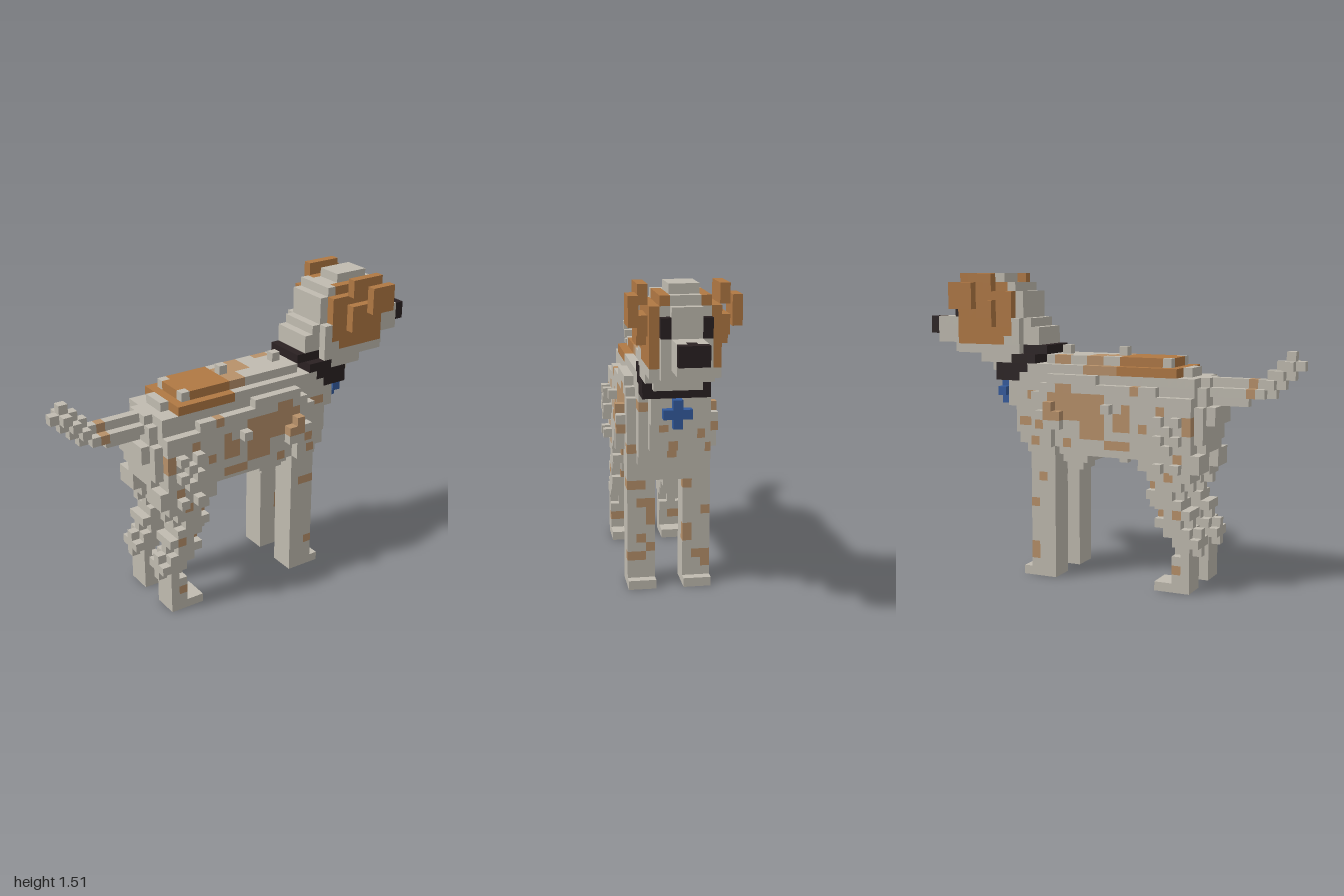
import * as THREE from 'three';

const V = 2 / 45; // block edge: 45 blocks long, 34 tall, 11 wide

export function createModel() {
  const mat = (name, color) => Object.assign(new THREE.MeshStandardMaterial({ color }), { name });
  const materials = {
    fur: mat('paleFur', 0xc0bbb0),
    orange: mat('orangeFur', 0xb07843),
    tan: mat('tanSpots', 0xb8916a),
    dark: mat('black', 0x2a2122),
    blue: mat('blueTag', 0x345c9f),
  };

  // Block grid: i runs along x, j along y, k along z with 0 in the middle
  const grid = new Map();
  const key = (i, j, k) => `${i},${j},${k}`;
  const put = (part, colour, i, j, k) => grid.set(key(i, j, k), { part, colour, p: [i, j, k] });
  // Block of cells with k0 <= |k| <= k1, so always mirrored left to right
  const box = (part, colour, i0, i1, j0, j1, k1, k0 = 0) => {
    for (let i = i0; i <= i1; i++)
      for (let j = j0; j <= j1; j++)
        for (let k = -k1; k <= k1; k++) if (Math.abs(k) >= k0) put(part, colour, i, j, k);
  };
  // Recolours pale cells only
  const paint = (colour, i0, i1, j0, j1, k0, k1) => {
    for (let i = i0; i <= i1; i++)
      for (let j = j0; j <= j1; j++)
        for (let k = k0; k <= k1; k++) {
          const c = grid.get(key(i, j, k));
          if (c && c.colour === 'fur') c.colour = colour;
        }
  };

  // Body
  [
    [11, 29, 15, 20, 4], [15, 28, 21, 21, 4], [22, 27, 22, 22, 4],
    [11, 30, 14, 22, 3], [10, 30, 15, 21, 2], [10, 12, 22, 22, 1],
    [13, 29, 23, 23, 3], [12, 12, 23, 23, 1], [14, 28, 24, 24, 2],
    [9, 9, 18, 19, 2], [10, 10, 16, 19, 3],
  ].forEach((b) => box('body', 'fur', ...b));
  // Chest, narrowing toward the front and down to the keel
  [
    [30, 30, 14, 23, 3], [31, 31, 15, 22, 3], [32, 32, 16, 22, 2], [33, 33, 19, 22, 2],
    [24, 29, 13, 13, 2], [25, 29, 12, 12, 1], [28, 28, 11, 11, 0],
  ].forEach((b) => box('chest', 'fur', ...b));
  // Loose tufts
  [[20, 25, 0], [27, 25, 0], [20, 13, 0], [20, 19, 5], [20, 19, -5]]
    .forEach((c) => put('tufts', 'fur', ...c));

  // Shoulders and front legs
  box('shoulder', 'fur', 26, 28, 17, 18, 5, 5);
  box('shoulder', 'fur', 27, 27, 15, 19, 5, 5);
  box('frontLeg', 'fur', 27, 29, 1, 14, 4, 2);
  box('frontPaw', 'fur', 27, 30, 0, 0, 4, 2);

  // Hind legs: first and last column of each row, with ragged edges
  box('hindPaw', 'fur', 11, 14, 0, 0, 4, 2);
  const hind = [
    [11, 12], [11, 12], [11, 12], [10, 12], [10, 12], [10, 13], [11, 14], [11, 14],
    [12, 15], [12, 15], [11, 15], [11, 15], [10, 16], [10, 16],
  ];
  hind.forEach(([a, b], n) => {
    const j = n + 1;
    for (let i = a; i <= b; i++) {
      const ragged = j > 3 && j < 13 && (i === a || i === b) && (i + j) % 2 === 0;
      box('hindLeg', 'fur', i, i, j, j, ragged ? 3 : 4, ragged ? 3 : 2);
    }
  });
  [[12, 13], [14, 13], [13, 15], [12, 16], [14, 16], [13, 17], [12, 18], [14, 18]]
    .forEach(([i, j]) => box('thighTuft', 'fur', i, i, j, j, 5, 5));

  // Tail: plus-shaped section, curling up to the tip
  [[1, 1, 23, 25], [2, 2, 22, 24], [3, 3, 21, 23], [4, 5, 21, 22], [6, 9, 20, 22]]
    .forEach(([i0, i1, j0, j1]) => {
      box('tail', 'fur', i0, i1, j0, j1, 0);
      const mid = j1 - j0 > 1 ? j0 + 1 : j0;
      box('tail', 'fur', i0, i1, mid, mid, 1);
    });
  box('tail', 'fur', 0, 0, 24, 24, 0);

  // Neck and head
  [
    [31, 34, 23, 23, 2], [31, 35, 23, 23, 2], [32, 36, 24, 24, 3], [32, 39, 25, 25, 3],
    [30, 31, 26, 27, 2], [31, 31, 28, 28, 2], [32, 32, 26, 28, 3],
  ].forEach((b) => box('neck', 'fur', ...b));
  [
    [32, 39, 26, 31, 2], [33, 39, 26, 31, 3], [33, 39, 32, 32, 2], [35, 38, 33, 33, 1],
    [40, 40, 25, 28, 2], [40, 40, 29, 31, 1],
  ].forEach((b) => box('head', 'fur', ...b));
  box('cheek', 'orange', 33, 39, 27, 31, 3, 3);
  box('cheek', 'orange', 34, 39, 26, 26, 3, 3);
  box('cheek', 'orange', 34, 39, 32, 32, 2, 2);
  box('eye', 'dark', 40, 40, 29, 30, 2, 2);
  box('muzzle', 'fur', 41, 43, 26, 28, 1);
  box('nose', 'dark', 44, 44, 27, 28, 1);
  put('nose', 'dark', 43, 28, 0);

  // Ears: root, outward fold and hanging flap
  box('ear', 'orange', 35, 38, 32, 33, 4, 4);
  box('ear', 'orange', 37, 39, 30, 32, 5, 5);
  box('ear', 'orange', 35, 37, 28, 30, 4, 4);
  box('ear', 'orange', 36, 38, 29, 30, 4, 4);

  // Collar: slanting band, with a cross-shaped tag below
  [[29, 31, 25, 25, 2], [30, 32, 24, 24, 3], [31, 33, 23, 23, 3], [32, 34, 22, 22, 3], [34, 34, 23, 23, 3]]
    .forEach((b) => box('collar', 'dark', ...b));
  box('tag', 'blue', 35, 35, 19, 21, 0);
  box('tag', 'blue', 35, 35, 20, 20, 1);

  // Saddle patch along the back
  paint('orange', 13, 19, 23, 23, -3, 3);
  paint('orange', 15, 19, 24, 24, -2, 2);
  paint('orange', 14, 14, 24, 24, -1, 1);
  paint('tan', 20, 21, 24, 24, -1, 2);
  paint('tan', 22, 23, 23, 24, -3, 0);
  paint('tan', 20, 22, 23, 23, -3, -3);
  paint('tan', 26, 27, 23, 24, -2, -2);

  // Flank patch and spots on both sides: columns, then rows
  const spots = [
    [21, 23, 16, 20], [24, 27, 18, 20], [25, 26, 21, 21], [17, 17, 21, 21], [18, 19, 17, 18],
    [18, 18, 19, 19], [18, 20, 15, 15], [11, 11, 17, 18], [12, 12, 14, 14], [14, 14, 19, 19],
    [16, 16, 17, 17], [30, 30, 20, 20], [28, 28, 17, 17], [29, 29, 15, 15], [25, 25, 15, 15],
    [28, 28, 11, 11], [29, 29, 3, 3], [12, 12, 8, 8], [15, 15, 11, 11], [14, 14, 8, 8],
    [12, 12, 2, 2], [13, 13, 12, 12],
  ];
  for (const s of spots) {
    paint('tan', ...s, 3, 5);
    paint('tan', ...s, -5, -3);
  }
  paint('tan', 5, 5, 21, 22, -1, 1);

  // Spots on the front of the chest and legs: rows, then z cells
  [
    [20, 20, 3, 3], [16, 16, 0, 0], [15, 15, 0, 0], [18, 18, 1, 1], [17, 17, -3, -3],
    [11, 11, 3, 4], [9, 9, 2, 3], [7, 8, 2, 2], [5, 5, 3, 3], [4, 4, 2, 2], [3, 3, 4, 4],
    [11, 11, -2, -2], [8, 8, -4, -4], [5, 6, -2, -2], [2, 2, -4, -4],
  ].forEach((s) => paint('tan', 29, 32, ...s));

  // Outer faces of the blocks, gathered by part and colour
  const faces = {};
  for (const { part, colour, p } of grid.values()) {
    const list = (((faces[part] ??= {})[colour]) ??= { pos: [], nor: [] });
    for (let a = 0; a < 3; a++)
      for (const s of [-1, 1]) {
        const next = [...p];
        next[a] += s;
        if (grid.has(key(...next))) continue;
        const u = (a + 1) % 3, w = (a + 2) % 3;
        const corner = (du, dw) => {
          const c = [(p[0] - 22) * V, (p[1] + 0.5) * V, p[2] * V];
          c[a] += s * V / 2;
          c[u] += du * V / 2;
          c[w] += dw * s * V / 2;
          return c;
        };
        const [A, B, C, D] = [corner(-1, -1), corner(1, -1), corner(1, 1), corner(-1, 1)];
        const n = [0, 0, 0];
        n[a] = s;
        for (const c of [A, B, C, A, C, D]) {
          list.pos.push(...c);
          list.nor.push(...n);
        }
      }
  }

  const model = new THREE.Group();
  model.name = 'dog';
  for (const [part, colours] of Object.entries(faces)) {
    const group = new THREE.Group();
    group.name = part;
    for (const [colour, { pos, nor }] of Object.entries(colours)) {
      if (!pos.length) continue;
      const geo = new THREE.BufferGeometry();
      geo.setAttribute('position', new THREE.Float32BufferAttribute(pos, 3));
      geo.setAttribute('normal', new THREE.Float32BufferAttribute(nor, 3));
      const mesh = new THREE.Mesh(geo, materials[colour]);
      mesh.name = `${part} ${materials[colour].name}`;
      group.add(mesh);
    }
    model.add(group);
  }
  return model;
}
